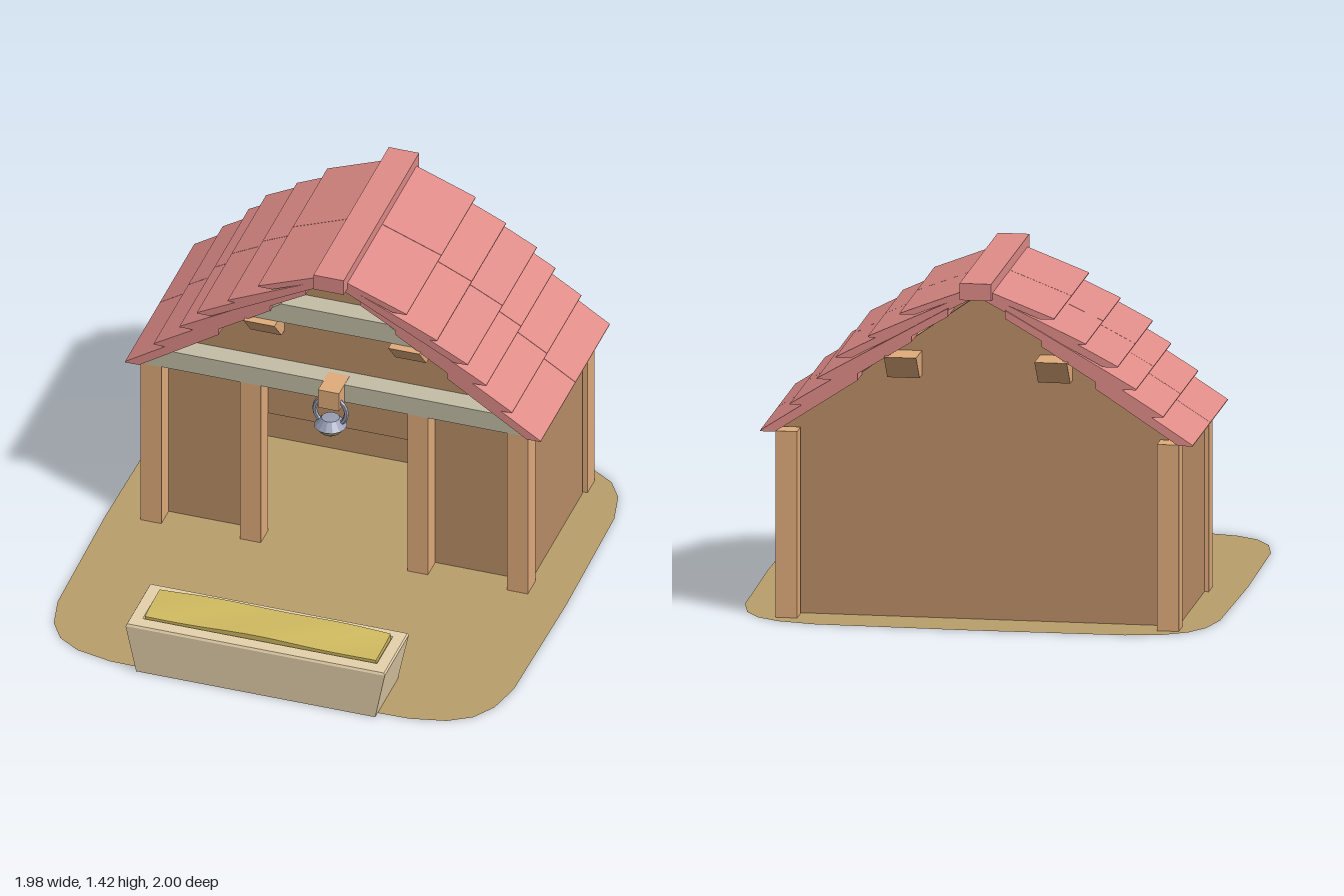
import * as THREE from 'three';

const material = (color) => new THREE.MeshStandardMaterial({ color, flatShading: true, side: THREE.DoubleSide });
const MAT = {
  ground: material(0xb99f6c), wall: material(0xba8e67), post: material(0xe0ab7b), beam: material(0xc4bea6),
  roof: material(0xdf8c88), trough: material(0xe6d2ac), hay: material(0xd0ba60), metal: material(0x989db3), glass: material(0xaaa472),
};

function add(parent, name, geometry, mat, x = 0, y = 0, z = 0) {
  const mesh = new THREE.Mesh(geometry, mat);
  mesh.name = name;
  mesh.position.set(x, y, z);
  parent.add(mesh);
  return mesh;
}

// Box given by its lower and upper corners
function box(parent, name, mat, [x0, y0, z0], [x1, y1, z1]) {
  const geometry = new THREE.BoxGeometry(x1 - x0, y1 - y0, z1 - z0);
  return add(parent, name, geometry, mat, (x0 + x1) / 2, (y0 + y1) / 2, (z0 + z1) / 2);
}

const toShape = (points) => new THREE.Shape(points.map(([x, y]) => new THREE.Vector2(x, y)));

// Outline in x, y pushed from z0 to z1
function slab(parent, name, mat, points, z0, z1) {
  const geometry = new THREE.ExtrudeGeometry(toShape(points), { depth: z1 - z0, bevelEnabled: false });
  return add(parent, name, geometry, mat, 0, 0, z0);
}

// Skin over rectangular loops [halfX, y, zMin, zMax], closed at both ends
function rectLoft(loops) {
  const pos = [], index = [];
  for (const [hx, y, z0, z1] of loops) pos.push(-hx, y, z1, hx, y, z1, hx, y, z0, -hx, y, z0);
  for (let i = 0; i < loops.length - 1; i++) {
    for (let j = 0; j < 4; j++) {
      const a = i * 4 + j, b = i * 4 + (j + 1) % 4;
      index.push(a, b, b + 4, a, b + 4, a + 4);
    }
  }
  const e = (loops.length - 1) * 4;
  index.push(0, 2, 1, 0, 3, 2, e, e + 1, e + 2, e, e + 2, e + 3);
  const geometry = new THREE.BufferGeometry();
  geometry.setAttribute('position', new THREE.Float32BufferAttribute(pos, 3));
  geometry.setIndex(index);
  geometry.computeVertexNormals();
  return geometry;
}

const EAVE = 0.775;
const gableX = (y) => 0.83 - (y - EAVE) / 0.705; // half width of the gable at a height

function buildGround(parent) {
  const points = [];
  const bend = (v) => Math.sign(v) * Math.abs(v) ** 0.32;
  for (let i = 0; i < 24; i++) {
    const a = (i / 24) * Math.PI * 2;
    points.push([0.988 * bend(Math.cos(a)), 0.985 * bend(Math.sin(a))]);
  }
  const ground = add(parent, 'ground', new THREE.ShapeGeometry(toShape(points)), MAT.ground, 0, 0, -0.015);
  ground.rotation.x = -Math.PI / 2;
}

function buildWalls(house) {
  const w = 0.81;
  const top = [[w, 0.785], [0, 1.355], [-w, 0.785]];
  slab(house, 'backWall', MAT.wall, [[-w, 0], [w, 0], ...top], -0.785, -0.765);
  // Front wall with a doorway
  slab(house, 'frontWall', MAT.wall,
    [[-w, 0], [-0.33, 0], [-0.33, 0.58], [0.33, 0.58], [0.33, 0], [w, 0], ...top], -0.148, -0.128);
  for (const s of [-1, 1]) {
    const wall = box(house, 'sideWall', MAT.wall, [-0.01, 0, -0.785], [0.01, 0.785, -0.128]);
    wall.position.x = s * 0.802;
    for (const [name, x, width, z0, z1] of [
      ['frontPost', 0.785, 0.09, -0.13, -0.035],
      ['doorPost', 0.358, 0.088, -0.13, -0.035],
      ['backPost', 0.785, 0.09, -0.885, -0.795],
    ]) {
      box(house, name, MAT.post, [s * x - width / 2, 0, z0], [s * x + width / 2, EAVE, z1]);
    }
  }
}

function buildBeams(house) {
  // Tie beams cut to the roof slope
  for (const [name, y0, y1] of [['lowerTieBeam', EAVE, 0.86], ['upperTieBeam', 1.11, 1.2]]) {
    const a = gableX(y0), b = gableX(y1);
    slab(house, name, MAT.beam, [[-a, y0], [a, y0], [b, y1], [-b, y1]], -0.13, -0.035);
  }
  // Purlins with slanted ends, outline in z and y
  for (const s of [-1, 1]) {
    const purlin = slab(house, 'purlin', MAT.post,
      [[0.09, 1.005], [0.84, 1.005], [0.93, 1.108], [0, 1.108]], -0.0665, 0.0665);
    purlin.rotation.y = Math.PI / 2;
    purlin.position.set(s * 0.31 - 0.0665, 0, 0);
  }
}

function buildRoof(house) {
  // Overlapping rows: tip x, tip y, slope and run, lying flatter towards the ridge
  const rows = [
    [0.89, 0.775, 0.66, 0.4], [0.768, 0.89, 0.63, 0.5], [0.657, 1.0, 0.58, 0.54],
    [0.58, 1.09, 0.53, 0.54], [0.448, 1.18, 0.47, 0.43], [0.318, 1.28, 0.4, 0.3],
  ];
  rows.forEach(([x, y, slope, run], i) => {
    const inner = x - run;
    const dz = i < 3 ? -0.007 : 0;
    for (const s of [-1, 1]) {
      const outline = [
        [x, y], [x, y + 0.004], [inner, y + (x - inner) * slope],
        [inner, y + (x - 0.06 - inner) * slope], [x - 0.06, y],
      ].map(([px, py]) => [s * px, py]);
      slab(house, 'shingle', MAT.roof, outline, -0.454 + dz, -0.012 + dz);
      slab(house, 'shingle', MAT.roof, outline, -0.893 + dz, -0.456 + dz);
    }
  });
  box(house, 'ridgeCap', MAT.roof, [-0.065, 1.355, -0.925], [0.065, 1.425, 0.035]);
}

function buildLantern(house) {
  const lantern = new THREE.Group();
  lantern.name = 'lantern';
  house.add(lantern);
  box(lantern, 'lanternBracket', MAT.post, [-0.045, EAVE, -0.1], [0.045, 0.862, 0.035]);
  const z = 0.01;
  add(lantern, 'lanternRing', new THREE.TorusGeometry(0.068, 0.01, 6, 20), MAT.metal, 0, 0.752, z);
  const cap = [[0, 0.68], [0.058, 0.68], [0.068, 0.684], [0.037, 0.72], [0, 0.722]];
  add(lantern, 'lanternCap', new THREE.LatheGeometry(cap.map(([r, y]) => new THREE.Vector2(r, y)), 14), MAT.metal, 0, 0, z);
  const dome = new THREE.SphereGeometry(0.056, 14, 5, 0, Math.PI * 2, Math.PI / 2, Math.PI / 2);
  dome.scale(1, 0.76, 1);
  add(lantern, 'lanternGlass', dome, MAT.glass, 0, 0.682, z);
}

function buildTrough(parent) {
  const trough = new THREE.Group();
  trough.name = 'feedingTrough';
  trough.position.x = -0.005;
  parent.add(trough);
  add(trough, 'troughBody', rectLoft([
    [0.512, 0, 0.705, 0.993], [0.555, 0.218, 0.692, 1], [0.55, 0.228, 0.697, 0.995],
    [0.502, 0.228, 0.738, 0.94], [0.494, 0.215, 0.744, 0.934], [0.475, 0.08, 0.755, 0.92],
  ]), MAT.trough);
  // Hay heaped a little higher along the back
  const hay = new THREE.BoxGeometry(0.99, 0.12, 0.188, 16, 1, 4);
  const p = hay.attributes.position;
  for (let i = 0; i < p.count; i++) {
    if (p.getY(i) < 0) continue;
    const x = p.getX(i), z = p.getZ(i);
    p.setY(i, 0.058 + 0.006 * Math.cos(x * 4) - 0.07 * z + 0.003 * Math.sin(x * 11 + z * 20));
  }
  hay.computeVertexNormals();
  const hayMat = MAT.hay.clone();
  hayMat.flatShading = false;
  add(trough, 'hay', hay, hayMat, 0, 0.185, 0.839);
}

export function createModel() {
  const model = new THREE.Group();
  model.name = 'stable';
  buildGround(model);
  const house = new THREE.Group();
  house.name = 'shed';
  house.position.x = -0.015;
  model.add(house);
  buildWalls(house);
  buildBeams(house);
  buildRoof(house);
  buildLantern(house);
  buildTrough(model);
  return model;
}
